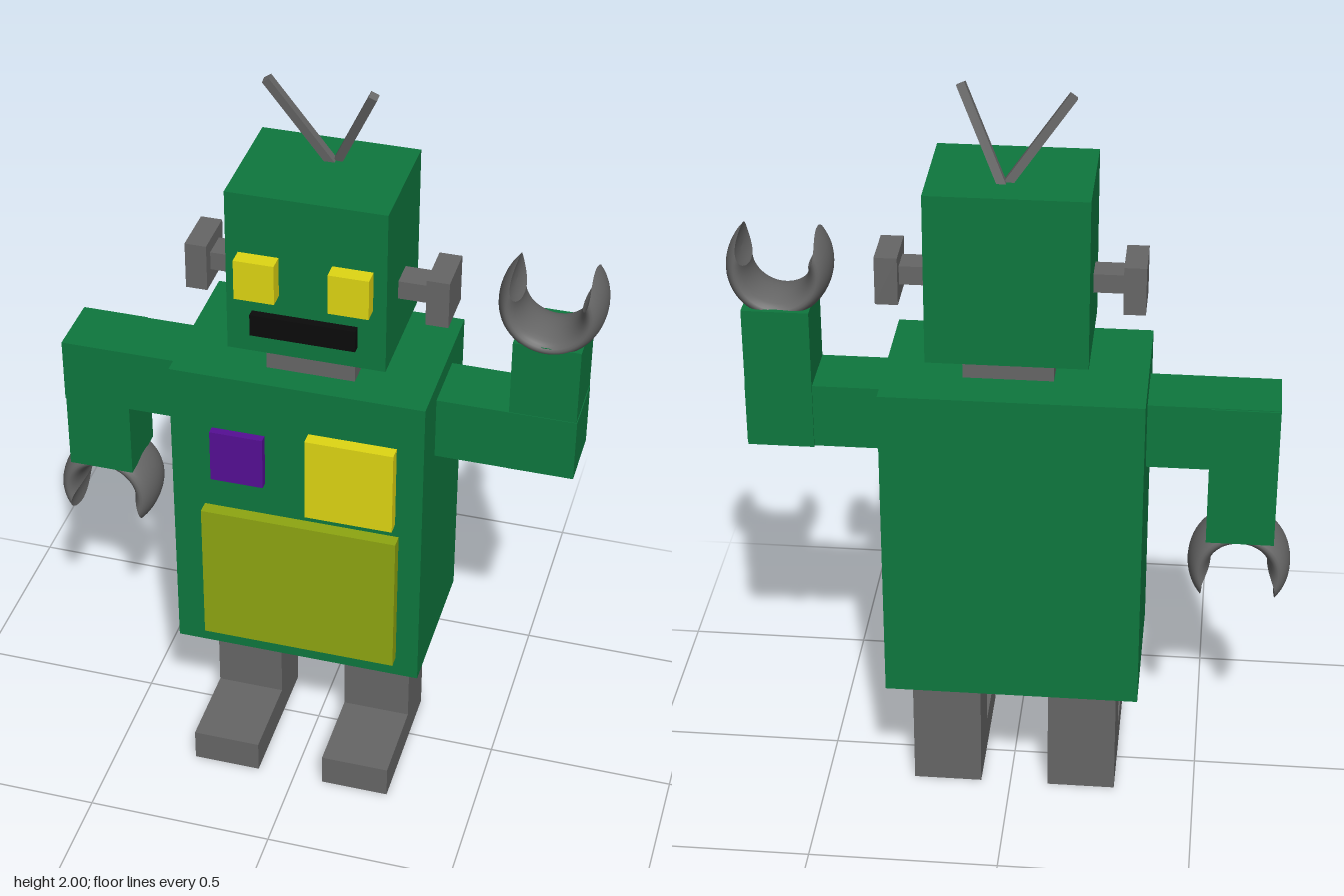
import * as THREE from 'three';
import { ParametricGeometry } from 'three/addons/geometries/ParametricGeometry.js';

const paint = (color) => new THREE.MeshStandardMaterial({ color });

export function createModel() {
  const robot = new THREE.Group();
  const green = paint(0x0e773e), grey = paint(0x666666), yellow = paint(0xdfd613);
  const olive = paint(0x8ea611), purple = paint(0x550f94), black = paint(0x0b0b0b);

  function add(name, geometry, material) {
    const mesh = new THREE.Mesh(geometry, material);
    mesh.name = name;
    robot.add(mesh);
    return mesh;
  }
  // Box given by its limits along each axis
  function box(name, material, [x0, x1], [y0, y1], [z0, z1]) {
    const mesh = add(name, new THREE.BoxGeometry(x1 - x0, y1 - y0, z1 - z0), material);
    mesh.position.set((x0 + x1) / 2, (y0 + y1) / 2, (z0 + z1) / 2);
  }

  // Body and chest panels
  box('torso', green, [-0.345, 0.32], [0.37, 1.25], [-0.25, 0.17]);
  box('bellyPanel', olive, [-0.26, 0.26], [0.43, 0.84], [0.16, 0.205]);
  box('chestPanel', yellow, [0.02, 0.25], [0.88, 1.12], [0.16, 0.205]);
  box('chestButton', purple, [-0.235, -0.095], [0.94, 1.09], [0.16, 0.192]);

  // Head
  box('neck', grey, [-0.11, 0.12], [1.24, 1.33], [-0.13, 0.095]);
  box('head', green, [-0.2, 0.207], [1.32, 1.77], [-0.19, 0.13]);
  box('rightEye', yellow, [-0.168, -0.065], [1.495, 1.605], [0.12, 0.172]);
  box('leftEye', yellow, [0.07, 0.173], [1.495, 1.605], [0.12, 0.172]);
  box('mouth', black, [-0.135, 0.135], [1.38, 1.44], [0.12, 0.152]);
  box('rightEarRod', grey, [-0.28, -0.19], [1.465, 1.515], [-0.055, 0.017]);
  box('rightEarCap', grey, [-0.333, -0.277], [1.422, 1.55], [-0.085, 0.048]);
  box('leftEarRod', grey, [0.2, 0.29], [1.465, 1.515], [-0.055, 0.017]);
  box('leftEarCap', grey, [0.285, 0.343], [1.422, 1.55], [-0.085, 0.048]);

  // Antennae
  function antenna(name, from, to) {
    const a = new THREE.Vector3(...from), b = new THREE.Vector3(...to);
    const dir = b.clone().sub(a);
    const mesh = add(name, new THREE.BoxGeometry(0.022, dir.length(), 0.022), grey);
    mesh.position.copy(a).add(b).multiplyScalar(0.5);
    mesh.quaternion.setFromUnitVectors(new THREE.Vector3(0, 1, 0), dir.normalize());
  }
  antenna('rightAntenna', [0.02, 1.75, -0.085], [-0.147, 1.985, -0.058]);
  antenna('leftAntenna', [0.015, 1.75, -0.1], [0.128, 1.995, -0.025]);

  // Arms: right one hangs, left one is raised
  box('rightUpperArm', green, [-0.68, -0.33], [1.01, 1.188], [-0.12, 0.05]);
  box('rightForearm', green, [-0.68, -0.505], [0.795, 1.186], [-0.125, 0.045]);
  box('leftUpperArm', green, [0.31, 0.678], [1.027, 1.2], [-0.12, 0.05]);
  box('leftForearm', green, [0.505, 0.676], [1.025, 1.408], [-0.125, 0.048]);

  // Claw: open ring with a wide oval section and slanted, pointed ends, opening up
  function clawPoint(t, phi, s, target) {
    const c = Math.cos(phi) * s;
    const theta = t * (1.99 + 0.37 * c);
    const r = 0.104 + 0.03 * c;
    target.set(r * Math.sin(theta), -r * Math.cos(theta), 0.083 * Math.sin(phi) * s);
  }
  function claw(name, x, y, z, turn) {
    const group = new THREE.Group();
    group.name = name;
    const ring = new ParametricGeometry(
      (u, v, p) => clawPoint(2 * v - 1, -2 * Math.PI * u, 1, p), 28, 40);
    group.add(new THREE.Mesh(ring, grey));
    for (const end of [-1, 1]) {
      const cap = new ParametricGeometry(
        (u, v, p) => clawPoint(end, end * 2 * Math.PI * u, v, p), 28, 4);
      cap.computeVertexNormals();
      group.add(new THREE.Mesh(cap, grey));
    }
    group.position.set(x, y, z);
    group.rotation.z = turn;
    robot.add(group);
  }
  claw('leftClaw', 0.587, 1.503, -0.032, 0);
  claw('rightClaw', -0.593, 0.7, -0.042, Math.PI);

  // Legs and feet
  for (const [side, x0, x1] of [['right', -0.284, -0.102], ['left', 0.08, 0.263]]) {
    box(side + 'Leg', grey, [x0, x1], [0, 0.38], [-0.14, 0.02]);
    box(side + 'Foot', grey, [x0, x1], [0, 0.09], [0.02, 0.25]);
  }

  return robot;
}
